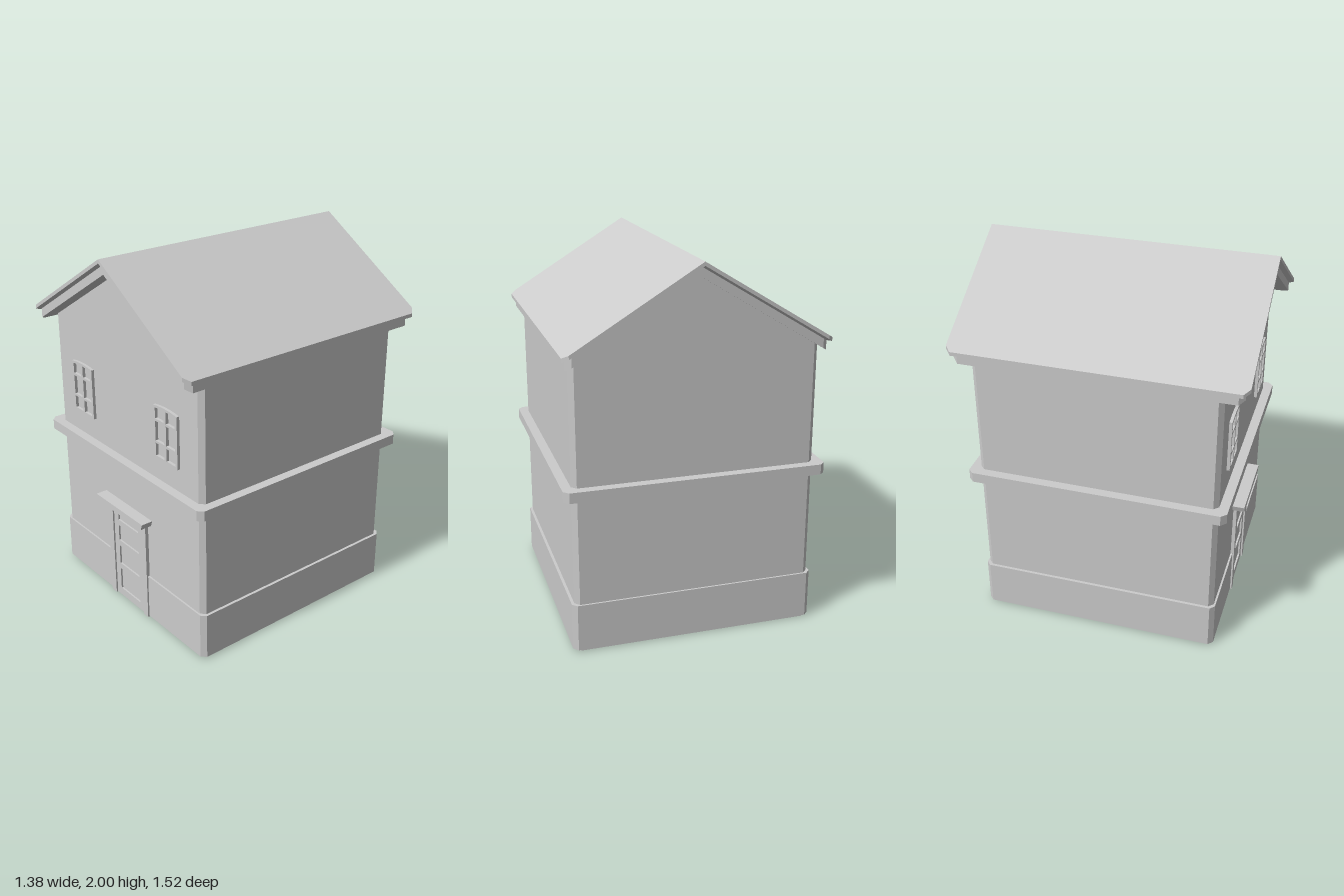
import * as THREE from 'three';

const RIDGE = 0.01, PITCH = 0.61;
const material = new THREE.MeshStandardMaterial({ color: 0xcccccc, flatShading: true });

// Chamfered rectangle, counter-clockwise seen from above, with points on the ridge line (1 and 6)
function plan(x0, x1, z0, z1, c) {
  return [[x0 + c, z1], [RIDGE, z1], [x1 - c, z1], [x1, z1 - c], [x1, z0 + c],
    [x1 - c, z0], [RIDGE, z0], [x0 + c, z0], [x0, z0 + c], [x0, z1 - c]];
}

// Solid between two plans; heights are given at the ridge and drop with the pitches
function slab(bottom, top, yBottom, yTop, pitchBottom = 0, pitchTop = 0) {
  const raise = (pts, y, pitch) => pts.map(([x, z]) => [x, y - pitch * Math.abs(x - RIDGE), z]);
  const lo = raise(bottom, yBottom, pitchBottom), hi = raise(top, yTop, pitchTop);
  const pos = [];
  const tri = (a, b, c) => pos.push(...a, ...b, ...c);
  for (let i = 0; i < 10; i++) {
    const j = (i + 1) % 10;
    tri(lo[i], lo[j], hi[j]);
    tri(lo[i], hi[j], hi[i]);
  }
  for (const half of [[1, 2, 3, 4, 5, 6], [6, 7, 8, 9, 0, 1]]) {
    for (let k = 1; k < 5; k++) {
      tri(hi[half[0]], hi[half[k]], hi[half[k + 1]]);
      tri(lo[half[0]], lo[half[k + 1]], lo[half[k]]);
    }
  }
  const g = new THREE.BufferGeometry();
  g.setAttribute('position', new THREE.Float32BufferAttribute(pos, 3));
  g.computeVertexNormals();
  return g;
}

function box(x0, x1, y0, y1, z0, z1) {
  return new THREE.BoxGeometry(x1 - x0, y1 - y0, z1 - z0)
    .translate((x0 + x1) / 2, (y0 + y1) / 2, (z0 + z1) / 2);
}

const polygon = (pts, Kind = THREE.Shape) => new Kind(pts.map(([x, y]) => new THREE.Vector2(x, y)));
const rect = (x0, x1, y0, y1) => polygon([[x0, y0], [x1, y0], [x1, y1], [x0, y1]], THREE.Path);
const extrude = (shape, depth) => new THREE.ExtrudeGeometry(shape, { depth, bevelEnabled: false });

// Six-pane window frame with a gently arched head, y measured from the sill
function windowGeometry() {
  const arch = (x, y) => y - 0.9 * x * x;
  const outline = [[-0.097, 0.004], [0, 0], [0.097, 0.004]];
  for (let i = 0; i <= 8; i++) {
    const x = 0.097 - i * 0.194 / 8;
    outline.push([x, arch(x, 0.295)]);
  }
  const shape = polygon(outline);
  for (const [a, b] of [[-0.08, -0.008], [0.008, 0.08]]) {
    shape.holes.push(rect(a, b, 0.016, 0.085), rect(a, b, 0.098, 0.205));
    const m = (a + b) / 2;
    shape.holes.push(polygon([[a, 0.218], [b, 0.218], [b, arch(b, 0.282)],
      [m, arch(m, 0.282)], [a, arch(a, 0.282)]], THREE.Path));
  }
  return extrude(shape, 0.02);
}

export function createModel() {
  const group = new THREE.Group();
  const add = (name, geometry, parent = group) => {
    const mesh = new THREE.Mesh(geometry, material);
    mesh.name = name;
    parent.add(mesh);
    return mesh;
  };

  // Walls with gables
  const wall = plan(-0.64, 0.635, -0.635, 0.64, 0.025);
  add('walls', slab(wall, wall, 0, 1.94, 0, PITCH));

  // Plinth, notched for the doorway
  const base = plan(-0.655, 0.65, -0.645, 0.65, 0.025).map(([x, z]) => [x, -z]);
  base.splice(1, 1, [-0.177, -0.65], [-0.177, -0.6], [0.173, -0.6], [0.173, -0.65]);
  add('plinth', extrude(polygon(base), 0.255).rotateX(-Math.PI / 2).translate(0, 0.01, 0));

  // Storey band
  const band = plan(-0.69, 0.685, -0.685, 0.69, 0.028);
  add('storeyBand', slab(band, band, 0.848, 0.903));

  // Roof: cornice, flared soffit and covering
  const cornice = plan(-0.645, 0.665, -0.73, 0.735, 0.028);
  const roof = plan(-0.662, 0.685, -0.76, 0.76, 0.03);
  add('cornice', slab(cornice, cornice, 1.92, 1.968, PITCH, PITCH));
  add('soffit', slab(cornice, roof, 1.968, 1.98, PITCH, PITCH));
  add('roof', slab(roof, roof, 1.98, 2, PITCH, PITCH));

  // Windows
  const pane = windowGeometry();
  for (const [name, x] of [['rightWindow', -0.377], ['leftWindow', 0.37]]) {
    add(name, pane, group).position.set(x, 1.028, 0.636);
  }

  // Door with recessed panels, jambs and lintel
  const door = new THREE.Group();
  door.name = 'door';
  group.add(door);
  const leaf = polygon([[-0.137, 0.005], [0.133, 0.005], [0.133, 0.592], [-0.137, 0.592]]);
  for (const [y0, y1] of [[0.05, 0.18], [0.215, 0.33], [0.365, 0.46], [0.495, 0.56]]) {
    leaf.holes.push(rect(-0.095, 0.091, y0, y1));
  }
  add('doorLeaf', extrude(leaf, 0.012).translate(0, 0, 0.638), door);
  add('rightJamb', box(-0.177, -0.135, 0.004, 0.592, 0.6, 0.659), door);
  add('leftJamb', box(0.131, 0.173, 0.004, 0.592, 0.6, 0.659), door);
  const lintel = polygon([[-0.205, 0.588], [0.201, 0.588], [0.213, 0.622], [-0.217, 0.622]]);
  add('lintel', extrude(lintel, 0.075).translate(0, 0, 0.63), door);

  return group;
}
